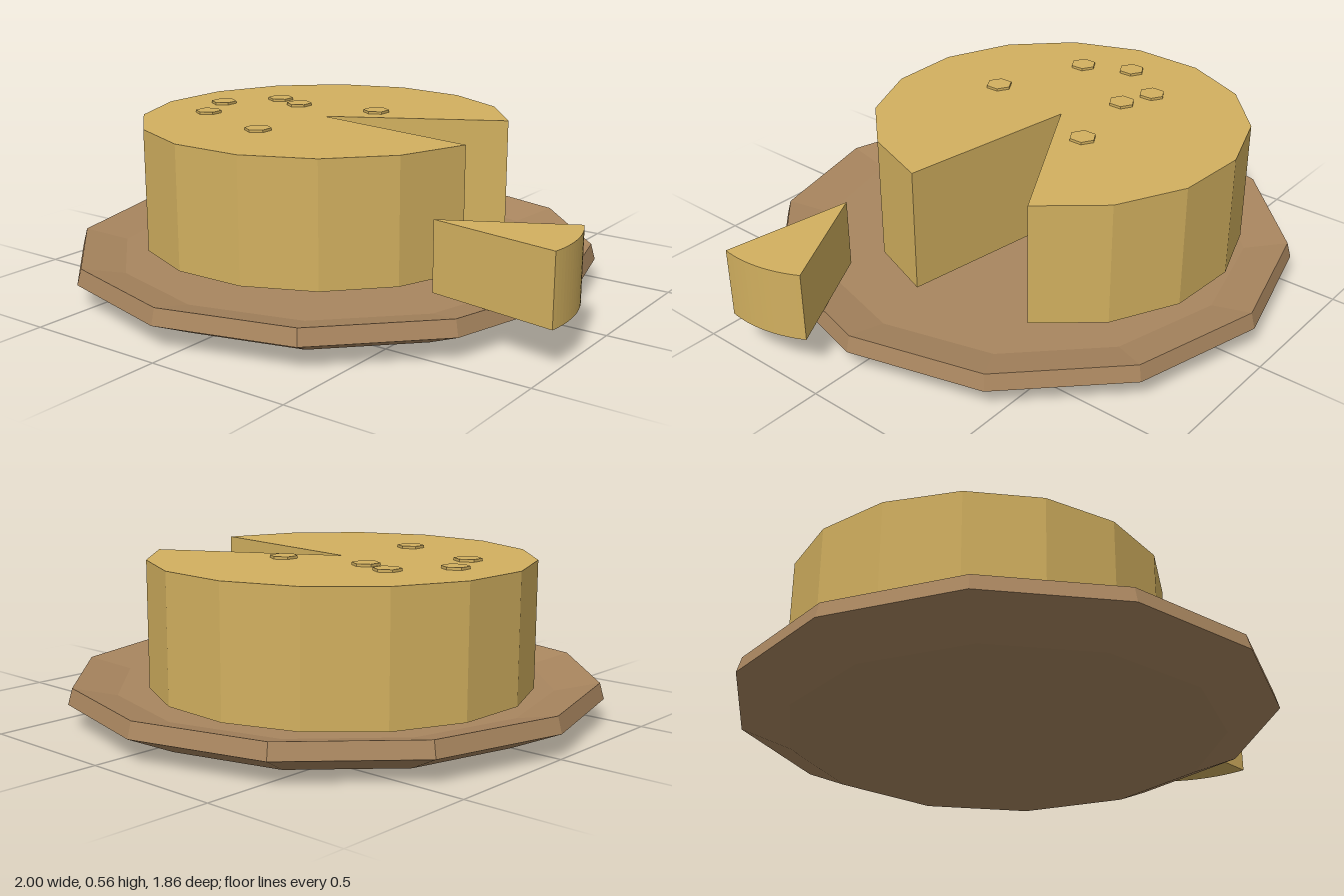
import * as THREE from 'three';

const RAD = Math.PI / 180;

// Upright wedge of a disc: apex at the origin, base on y = 0
function wedge(radius, height, fromDeg, toDeg, sides) {
  const shape = new THREE.Shape();
  shape.moveTo(0, 0);
  for (let i = 0; i <= sides; i++) {
    const a = (fromDeg + (toDeg - fromDeg) * i / sides) * RAD;
    shape.lineTo(Math.cos(a) * radius, Math.sin(a) * radius);
  }
  shape.closePath();
  const geo = new THREE.ExtrudeGeometry(shape, { depth: height, bevelEnabled: false });
  return geo.rotateX(-Math.PI / 2);
}

export function createModel() {
  const group = new THREE.Group();
  const cheese = new THREE.MeshStandardMaterial({ color: 0xd2b05f, flatShading: true });
  cheese.name = 'cheese yellow';
  const wood = new THREE.MeshStandardMaterial({ color: 0xa9865f, flatShading: true });
  wood.name = 'wood brown';

  const add = (name, geo, mat, x, y, z) => {
    const mesh = new THREE.Mesh(geo, mat);
    mesh.name = name;
    mesh.position.set(x, y, z);
    group.add(mesh);
  };

  // Twelve-sided plate with a shallow dish
  const profile = [[0, 0], [0.75, 0], [0.93, 0.08], [0.915, 0.135], [0.765, 0.1], [0, 0.1]]
    .map(([r, y]) => new THREE.Vector2(r, y));
  add('plate', new THREE.LatheGeometry(profile, 12), wood, -0.07, 0, 0);

  // Wheel with a wedge missing, and the cut slice beside it
  add('wheel', wedge(0.656, 0.435, 28.9, 351.3, 14), cheese, -0.155, 0.12, -0.06);
  add('slice', wedge(0.459, 0.24, -8.7, 28.5, 16), cheese, 0.542, 0.135, 0.305);

  // Small hexagonal studs on top of the wheel
  const stud = new THREE.CylinderGeometry(0.047, 0.047, 0.02, 6);
  const spots = [[-0.485, -0.217], [-0.36, -0.173], [-0.05, -0.233],
    [-0.615, -0.037], [-0.54, 0.132], [-0.198, 0.26]];
  for (const [x, z] of spots) add('stud', stud, cheese, x, 0.554, z);

  return group;
}
